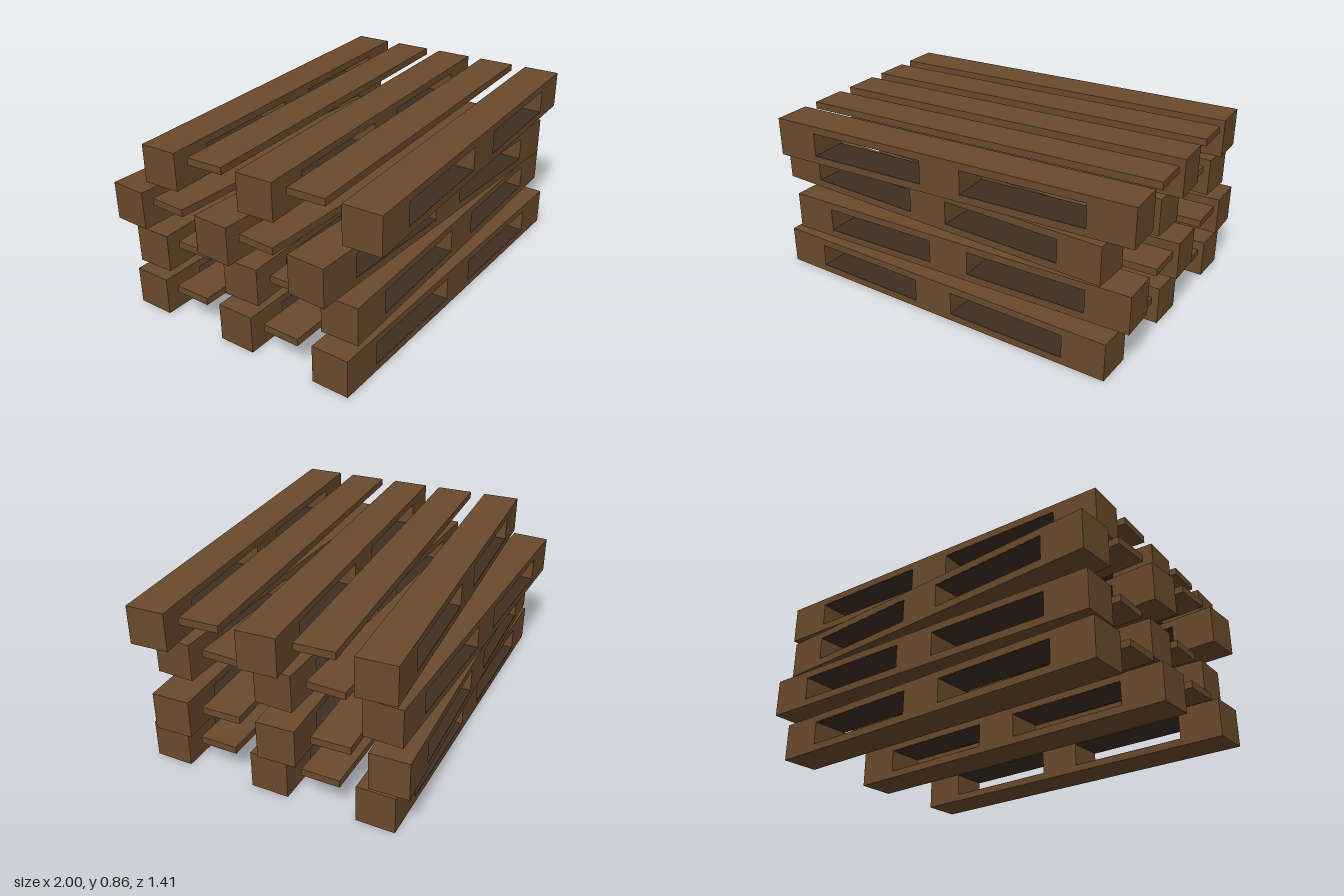
import * as THREE from 'three';

const LENGTH = 1.85, HEIGHT = 0.187, WIDTH = 0.186, PLANK = 0.035;
const WINDOW_IN = 0.105, WINDOW_OUT = 0.71, PITCH = 0.263;

// Position of each stacked pallet: x, base y, z, turn about y
const PALLETS = [
  [-0.025, 0, -0.01, 0],
  [0.022, 0.2235, -0.044, 0.04],
  [-0.057, 0.447, -0.058, -0.03],
  [0.037, 0.67, 0.034, 0.0595],
];

function rectangle(PathType, x0, x1, y0, y1) {
  const p = new PathType();
  p.moveTo(x0, y0);
  p.lineTo(x1, y0);
  p.lineTo(x1, y1);
  p.lineTo(x0, y1);
  p.closePath();
  return p;
}

export function createModel() {
  const wood = new THREE.MeshStandardMaterial({ color: 0x6a4a2c });
  wood.name = 'brown wood';
  const darkWood = new THREE.MeshStandardMaterial({ color: 0x3f2f23 });
  darkWood.name = 'dark wood';

  // Runner: a beam with two fork openings
  const profile = rectangle(THREE.Shape, -LENGTH / 2, LENGTH / 2, 0, HEIGHT);
  for (const [x0, x1] of [[-WINDOW_OUT, -WINDOW_IN], [WINDOW_IN, WINDOW_OUT]]) {
    profile.holes.push(rectangle(THREE.Path, x0, x1, PLANK, HEIGHT - PLANK));
  }
  const runnerGeo = new THREE.ExtrudeGeometry(profile, { depth: WIDTH, bevelEnabled: false });
  runnerGeo.translate(0, 0, -WIDTH / 2);

  const boardGeo = new THREE.BoxGeometry(LENGTH, PLANK, WIDTH);
  const liningGeo = new THREE.BoxGeometry(WINDOW_OUT - WINDOW_IN, 0.003, WIDTH - 0.002);

  const add = (parent, geo, mat, name, x, y, z) => {
    const mesh = new THREE.Mesh(geo, mat);
    mesh.name = name;
    mesh.position.set(x, y, z);
    parent.add(mesh);
  };

  const model = new THREE.Group();
  model.name = 'palletStack';
  PALLETS.forEach(([x, y, z, turn], i) => {
    const pallet = new THREE.Group();
    pallet.name = `pallet${i + 1}`;
    pallet.position.set(x, y, z);
    pallet.rotation.y = turn;

    for (const row of [-2, 0, 2]) {
      const rz = row * PITCH;
      add(pallet, runnerGeo, wood, 'runner', 0, 0, rz);
      // Dark floor and ceiling inside each fork opening
      for (const side of [-1, 1]) {
        const cx = side * (WINDOW_IN + WINDOW_OUT) / 2;
        add(pallet, liningGeo, darkWood, 'openingFloor', cx, PLANK + 0.0005, rz);
        add(pallet, liningGeo, darkWood, 'openingCeiling', cx, HEIGHT - PLANK - 0.0005, rz);
      }
    }
    // Thin deck boards between the runners
    for (const row of [-1, 1]) {
      add(pallet, boardGeo, wood, 'deckBoard', 0, HEIGHT - PLANK / 2, row * PITCH);
    }
    model.add(pallet);
  });
  return model;
}
